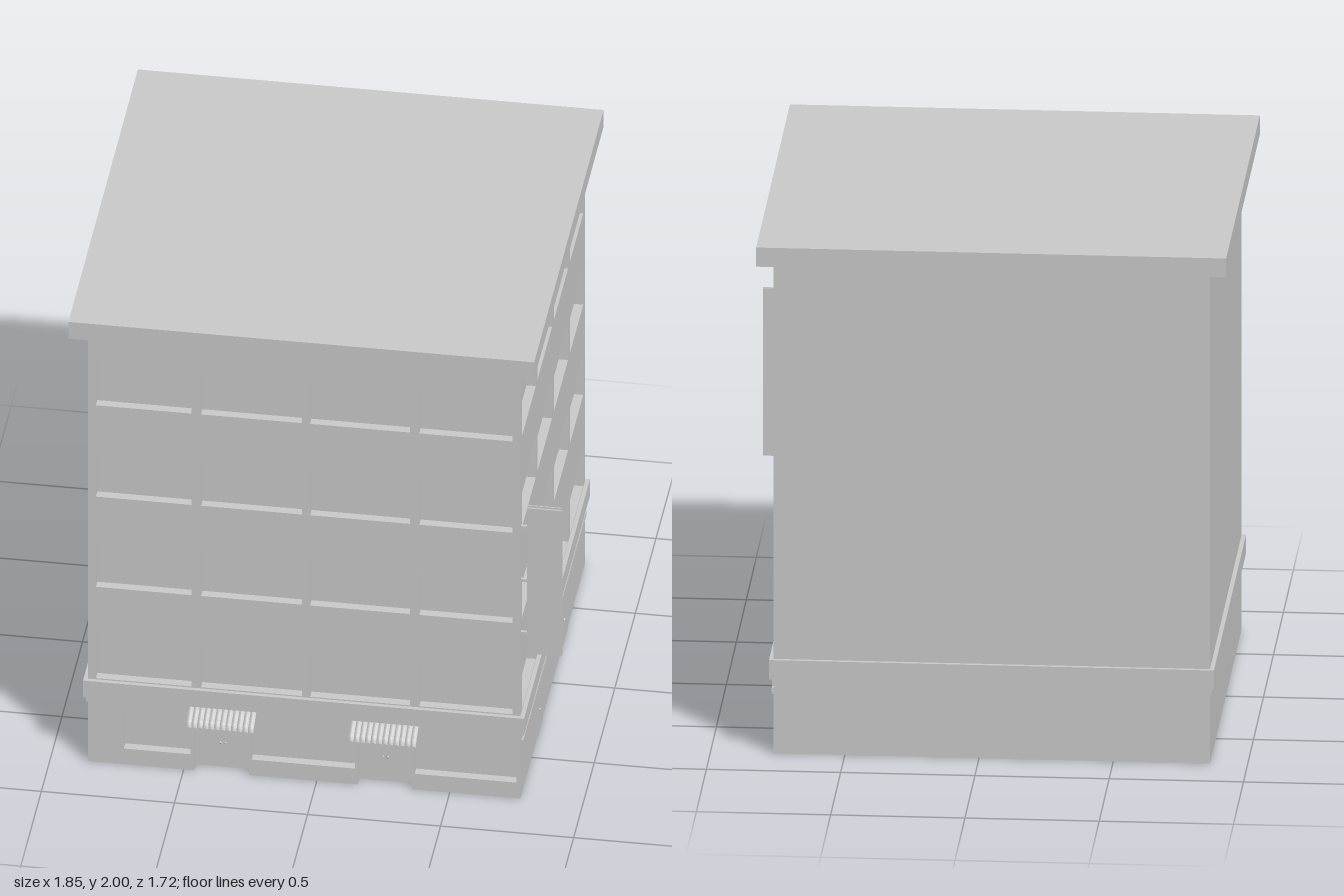
import * as THREE from 'three';

const grey = new THREE.MeshStandardMaterial({ color: 0xcccccc, side: THREE.DoubleSide, flatShading: true });
const X0 = -0.86, X1 = 0.765, Z0 = -0.795, Z1 = 0.775;
const BASE_TOP = 0.3, WALL_TOP = 1.93;
const ROWS = [[0.375, 0.57], [0.785, 0.975], [1.19, 1.385], [1.6, 1.79]];

function add(parent, name, geometry, x = 0, y = 0, z = 0) {
  const mesh = new THREE.Mesh(geometry, grey);
  mesh.name = name;
  mesh.position.set(x, y, z);
  parent.add(mesh);
  return mesh;
}

// Box given by its limits
function block(parent, name, x0, x1, y0, y1, z0, z1) {
  return add(parent, name, new THREE.BoxGeometry(x1 - x0, y1 - y0, z1 - z0),
    (x0 + x1) / 2, (y0 + y1) / 2, (z0 + z1) / 2);
}

// Shallow tray without its front face, set behind a wall opening
function recess(parent, name, [u0, u1, v0, v1], depth, openBottom) {
  const geometry = new THREE.BoxGeometry(u1 - u0, v1 - v0, depth);
  const index = Array.from(geometry.index.array);
  index.splice(24, 6);
  if (openBottom) index.splice(18, 6);
  geometry.setIndex(index);
  geometry.clearGroups();
  add(parent, name, geometry, (u0 + u1) / 2, (v0 + v1) / 2, -depth / 2);
}

// Thin wall in its own xy plane, with recessed windows and doors
function wall(name, u0, u1, v0, v1, windows = [], doors = []) {
  const group = new THREE.Group();
  group.name = name;
  const shape = new THREE.Shape();
  shape.moveTo(u0, v0);
  for (const [a, b, , top] of doors) {
    shape.lineTo(a, v0);
    shape.lineTo(a, top);
    shape.lineTo(b, top);
    shape.lineTo(b, v0);
  }
  shape.lineTo(u1, v0);
  shape.lineTo(u1, v1);
  shape.lineTo(u0, v1);
  shape.closePath();
  for (const w of windows) {
    const [a, b, c, d] = w;
    const hole = new THREE.Path();
    hole.moveTo(a, c);
    hole.lineTo(a, d);
    hole.lineTo(b, d);
    hole.lineTo(b, c);
    hole.closePath();
    shape.holes.push(hole);
    recess(group, 'window', w, 0.035, false);
  }
  for (const d of doors) recess(group, 'door', d, 0.04, true);
  add(group, name + 'Surface', new THREE.ShapeGeometry(shape));
  return group;
}

// Rectangular moulding running round the walls
function ring(parent, name, out, y0, y1) {
  const shape = new THREE.Shape();
  const hole = new THREE.Path();
  for (const [path, o] of [[shape, out], [hole, -0.001]]) {
    path.moveTo(X0 - o, -Z1 - o);
    path.lineTo(X1 + o, -Z1 - o);
    path.lineTo(X1 + o, -Z0 + o);
    path.lineTo(X0 - o, -Z0 + o);
    path.closePath();
  }
  shape.holes.push(hole);
  const geometry = new THREE.ExtrudeGeometry(shape, { depth: y1 - y0, bevelEnabled: false });
  geometry.rotateX(-Math.PI / 2);
  add(parent, name, geometry, 0, y0, 0);
}

// Curved, corrugated canopy over a door
function awning(parent, x0, x1) {
  const profile = new THREE.CatmullRomCurve3([
    [0.295, 0.775], [0.287, 0.8], [0.272, 0.83], [0.262, 0.85], [0.245, 0.858],
  ].map(([y, z]) => new THREE.Vector3(0, y, z)));
  const geometry = new THREE.PlaneGeometry(1, 1, 96, 8);
  const pos = geometry.attributes.position;
  for (let i = 0; i < pos.count; i++) {
    const u = pos.getX(i) + 0.5;
    const p = profile.getPoint(0.5 - pos.getY(i));
    const ripple = 0.005 * Math.abs(Math.sin(u * Math.PI * 12));
    pos.setXYZ(i, x0 + u * (x1 - x0), p.y + ripple, p.z + ripple * 0.5);
  }
  geometry.computeVertexNormals();
  add(parent, 'awning', geometry);
}

export function createModel() {
  const model = new THREE.Group();
  model.name = 'building';

  const grid = (columns) => ROWS.flatMap(([c, d]) => columns.map(([a, b]) => [a, b, c, d]));

  // Front walls
  const front = wall('frontWall', X0, X1, BASE_TOP, WALL_TOP,
    grid([[-0.83, -0.47], [-0.435, -0.055], [-0.025, 0.35], [0.385, 0.735]]));
  const shopFront = wall('shopFront', X0, X1, 0, BASE_TOP,
    [[-0.725, -0.475, 0.07, 0.237], [-0.245, 0.143, 0.07, 0.237], [0.368, 0.75, 0.07, 0.237]],
    [[-0.46, -0.255, 0, 0.25], [0.153, 0.357, 0, 0.25]]);
  for (const x of [-0.367, -0.348, 0.243, 0.262])
    add(shopFront, 'doorKnob', new THREE.SphereGeometry(0.005, 8, 6), x, 0.11, -0.036);
  for (const w of [front, shopFront]) {
    w.position.z = Z1;
    model.add(w);
  }

  // Window side
  const side = wall('sideWall', -Z1, -Z0, BASE_TOP, WALL_TOP,
    grid([[-0.74, -0.4], [-0.355, -0.005], [0.04, 0.385], [0.43, 0.755]]));
  const sideBase = wall('sideBase', -Z1, -Z0, 0, BASE_TOP);
  for (const u of [-0.36, 0.24]) {
    block(sideBase, 'sideDoor', u, u + 0.12, 0, 0.235, 0, 0.003);
    add(sideBase, 'doorKnob', new THREE.SphereGeometry(0.005, 8, 6), u + 0.02, 0.11, 0.005);
  }
  block(sideBase, 'sideLedge', -0.6, 0.785, 0.23, 0.24, 0, 0.008);
  block(sideBase, 'sideLedge', -0.755, 0.785, 0.243, 0.25, 0, 0.008);
  for (const w of [side, sideBase]) {
    w.rotation.y = Math.PI / 2;
    w.position.x = X1;
    model.add(w);
  }

  // Plain walls
  const back = wall('backWall', -X1, -X0, 0, WALL_TOP);
  back.rotation.y = Math.PI;
  back.position.z = Z0;
  const plain = wall('plainSideWall', Z0, Z1, 0, WALL_TOP);
  plain.rotation.y = -Math.PI / 2;
  plain.position.x = X0;
  model.add(back, plain);

  // Mouldings, roof and floor strip
  ring(model, 'band', 0.016, 0.295, 0.37);
  ring(model, 'bandLip', 0.006, 0.27, 0.295);
  block(model, 'roof', -0.925, 0.825, 1.925, 2, -0.86, 0.828);
  block(model, 'floorStrip', -0.255, 0.153, 0, 0.004, -0.75, Z1);

  // Door canopies
  awning(model, -0.48, -0.225);
  awning(model, 0.13, 0.385);

  // Hanging sign with two plates, a thin core and three brackets
  const sign = new THREE.Group();
  sign.name = 'sign';
  block(sign, 'signCore', 0.795, 0.915, 0.655, 1.295, 0.752, 0.764);
  block(sign, 'signPlate', 0.79, 0.92, 0.65, 1.302, 0.764, 0.769);
  block(sign, 'signPlate', 0.79, 0.92, 0.65, 1.302, 0.747, 0.752);
  for (const y of [0.735, 0.972, 1.21])
    block(sign, 'signBracket', 0.755, 0.8, y - 0.006, y + 0.006, 0.752, 0.764);
  model.add(sign);

  return model;
}
